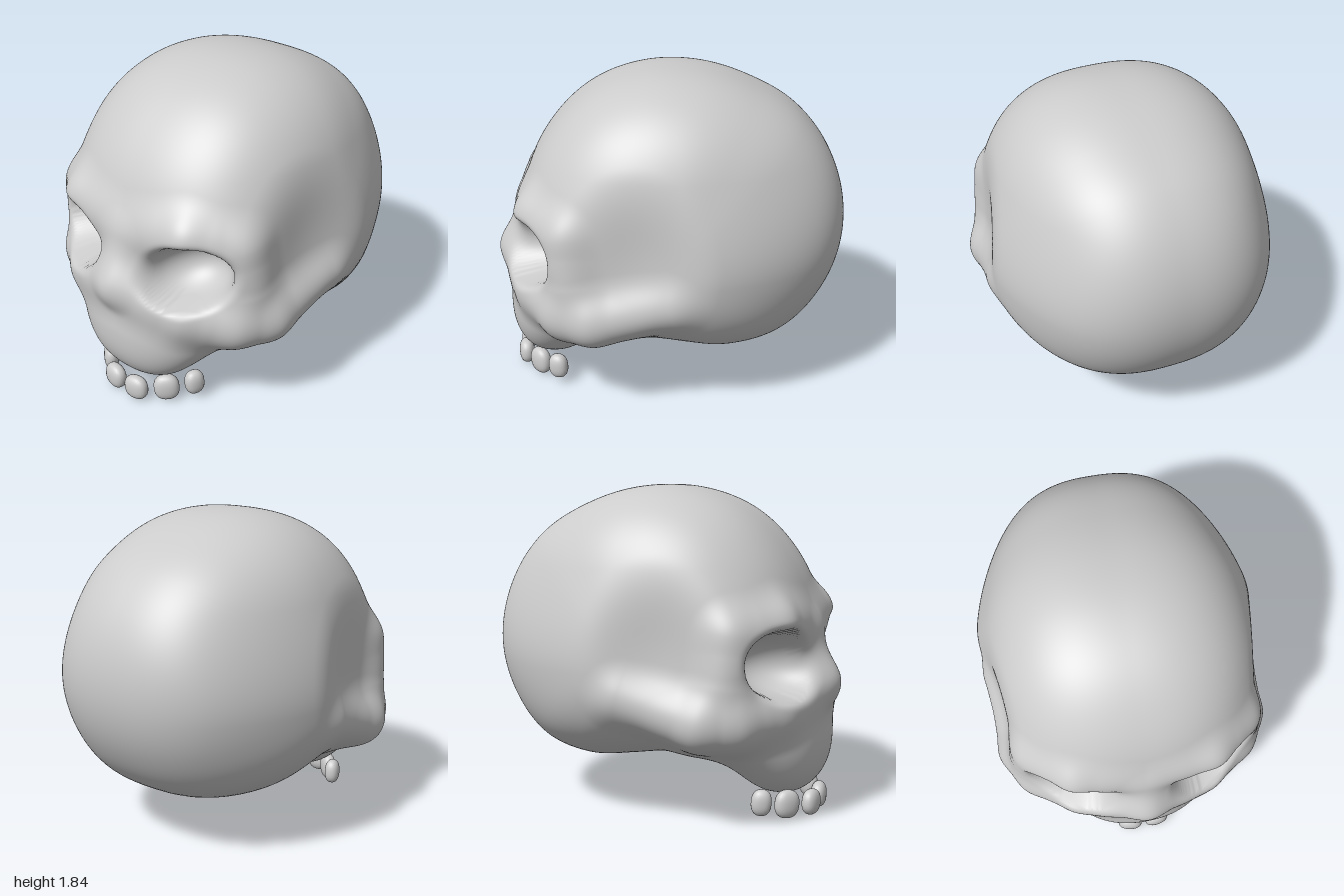
import * as THREE from 'three';
import { mergeVertices } from 'three/addons/utils/BufferGeometryUtils.js';

const material = new THREE.MeshStandardMaterial({ color: 0xcccccc });
const { smoothstep } = THREE.MathUtils;

// Smooth blends of signed distances
const join = (a, b, k) => {
  const h = Math.max(k - Math.abs(a - b), 0) / k;
  return Math.min(a, b) - h * h * k / 4;
};
const carve = (a, b, k) => -join(-a, b, k);

// Rounded blob, optionally tilted about z
function blob(p, c, r, n = 2, tilt = 0) {
  const dx = p.x - c[0], dy = p.y - c[1], dz = p.z - c[2];
  const co = Math.cos(tilt), si = Math.sin(tilt);
  const u = Math.abs(dx * co + dy * si) / r[0];
  const v = Math.abs(dy * co - dx * si) / r[1];
  const w = Math.abs(dz) / r[2];
  return (Math.pow(u ** n + v ** n + w ** n, 1 / n) - 1) * Math.min(...r);
}

// Round bar from a to b with radii ra and rb
function bar(p, a, b, ra, rb) {
  const d = [b[0] - a[0], b[1] - a[1], b[2] - a[2]];
  const q = [p.x - a[0], p.y - a[1], p.z - a[2]];
  const dot = q[0] * d[0] + q[1] * d[1] + q[2] * d[2];
  const t = THREE.MathUtils.clamp(dot / (d[0] ** 2 + d[1] ** 2 + d[2] ** 2), 0, 1);
  return Math.hypot(q[0] - t * d[0], q[1] - t * d[1], q[2] - t * d[2]) - ra - (rb - ra) * t;
}

// Ridge through several [x, y, z, radius] stations
function ridge(p, stations) {
  let d = Infinity;
  for (let i = 1; i < stations.length; i++) {
    const a = stations[i - 1], b = stations[i];
    const piece = bar(p, a, b, a[3], b[3]);
    d = i === 1 ? piece : join(d, piece, 0.04);
  }
  return d;
}

// Side profile of the braincase: radius every 20 degrees, from the face over the top
const PROFILE = [0.85, 0.865, 0.875, 0.888, 0.89, 0.895, 0.917, 0.97, 1.0,
  1.0, 0.968, 0.91, 0.785, 0.665, 0.632, 0.71, 0.765, 0.83];
function profileRadius(angle) {
  const n = PROFILE.length;
  const s = ((angle / (2 * Math.PI)) * n + n) % n;
  const i = Math.floor(s), t = s - i;
  const [a, b, c, d] = [-1, 0, 1, 2].map((k) => PROFILE[(i + k + n) % n]);
  return b + 0.5 * t * (c - a + t * (2 * a - 5 * b + 4 * c - d + t * (3 * (b - c) + d - a)));
}
function braincase(p) {
  const y = p.y - 0.95, n = 2.5;
  const width = (0.832 - 0.055 * smoothstep(p.y, 0.85, 1.4)) * (1 - 0.08 * smoothstep(-p.z, 0.05, 0.8));
  const rho = Math.hypot(y, p.z) / profileRadius(Math.atan2(y, p.z));
  return (Math.pow((p.x / width) ** n + rho ** n, 1 / n) - 1) * 0.8;
}

const BROW = [[0, 1.05, 0.75, 0.08], [0.38, 1.11, 0.75, 0.08], [0.58, 1.06, 0.57, 0.07],
  [0.61, 0.8, 0.54, 0.08]];
const CHEEK = [[0, 0.75, 0.89, 0.085], [0.37, 0.66, 0.75, 0.08], [0.58, 0.61, 0.59, 0.09],
  [0.67, 0.61, 0.42, 0.09], [0.72, 0.72, 0.0, 0.05]];

// Whole bone, given for x >= 0
function bone(p) {
  let d = braincase(p);
  // temple hollow
  d = carve(d, blob(p, [1.07, 0.98, 0.28], [0.34, 0.5, 0.4]), 0.2);
  d = join(d, ridge(p, BROW), 0.16);
  // upper jaw behind the muzzle, then the muzzle
  d = join(d, blob(p, [0, 0.53, 0.48], [0.62, 0.21, 0.27]), 0.15);
  d = join(d, blob(p, [0, 0.42, 0.69], [0.38, 0.31, 0.255], 2.2), 0.2);
  d = join(d, ridge(p, CHEEK), 0.18);
  // nose bridge
  d = join(d, bar(p, [0, 1.0, 0.76], [0, 0.76, 0.87], 0.1, 0.09), 0.12);
  // eye socket
  return carve(d, blob(p, [0.425, 0.9, 0.86], [0.25, 0.185, 0.33], 2, 0.25), 0.05);
}

// Wrap an even ball of points onto the bone from outside
function makeSkull() {
  const box = new THREE.BoxGeometry(2, 2, 2, 100, 100, 100);
  box.deleteAttribute('normal');
  box.deleteAttribute('uv');
  const geo = mergeVertices(box, 1e-5);
  const pos = geo.attributes.position;
  const start = new THREE.Vector3(), dir = new THREE.Vector3(), p = new THREE.Vector3();
  const at = (r) => {
    p.copy(start).addScaledVector(dir, r);
    p.x = Math.abs(p.x);
    return bone(p);
  };
  for (let i = 0; i < pos.count; i++) {
    dir.fromBufferAttribute(pos, i);
    // even out the spacing of the box grid
    dir.set(...dir.toArray().map((c) => Math.tan(c * Math.PI / 4))).normalize();
    // spread the starts so the lines run nearly straight into the sockets,
    // and move them forward for the underside so they reach behind the muzzle
    const down = smoothstep(-dir.y, 0.1, 0.6);
    start.set(dir.x * 0.4, 0.87 + dir.y * 0.3, 0.4 * down);
    dir.z *= 1.6 - 0.6 * down;
    dir.normalize();
    let hi = 1.6;
    while (hi > 0.1 && at(hi - 0.02) > 0) hi -= 0.02;
    let lo = hi - 0.02;
    for (let k = 0; k < 12; k++) {
      const mid = (lo + hi) / 2;
      if (at(mid) > 0) hi = mid; else lo = mid;
    }
    p.copy(start).addScaledVector(dir, hi);
    pos.setXYZ(i, p.x, p.y, p.z);
  }
  geo.computeVertexNormals();
  const mesh = new THREE.Mesh(geo, material);
  mesh.name = 'skull';
  return mesh;
}

// Squarish rounded peg
function toothGeometry() {
  const geo = mergeVertices(new THREE.SphereGeometry(1, 24, 16).deleteAttribute('normal').deleteAttribute('uv'));
  const pos = geo.attributes.position, v = new THREE.Vector3();
  for (let i = 0; i < pos.count; i++) {
    v.fromBufferAttribute(pos, i);
    const n = 2.4;
    v.divideScalar(Math.pow(Math.abs(v.x) ** n + Math.abs(v.y) ** n + Math.abs(v.z) ** n, 1 / n));
    pos.setXYZ(i, v.x, v.y, v.z);
  }
  geo.computeVertexNormals();
  return geo;
}

function makeTeeth() {
  const teeth = new THREE.Group();
  teeth.name = 'upperTeeth';
  const geo = toothGeometry();
  // x, y, z, yaw, half width, half height
  const row = [
    [0.083, 0.075, 0.875, 0.15, 0.073, 0.072],
    [0.225, 0.09, 0.775, 0.75, 0.073, 0.08],
    [0.333, 0.115, 0.66, 1.2, 0.057, 0.074],
  ];
  for (const side of [1, -1]) {
    row.forEach(([x, y, z, yaw, w, h], i) => {
      const tooth = new THREE.Mesh(geo, material);
      tooth.name = (side > 0 ? 'leftTooth' : 'rightTooth') + (i + 1);
      tooth.position.set(side * x, y, z);
      tooth.rotation.set(0, side * yaw, side * 0.08);
      tooth.scale.set(w, h, 0.045);
      teeth.add(tooth);
    });
  }
  return teeth;
}

export function createModel() {
  const model = new THREE.Group();
  model.name = 'skullModel';
  model.add(makeSkull(), makeTeeth());
  return model;
}
